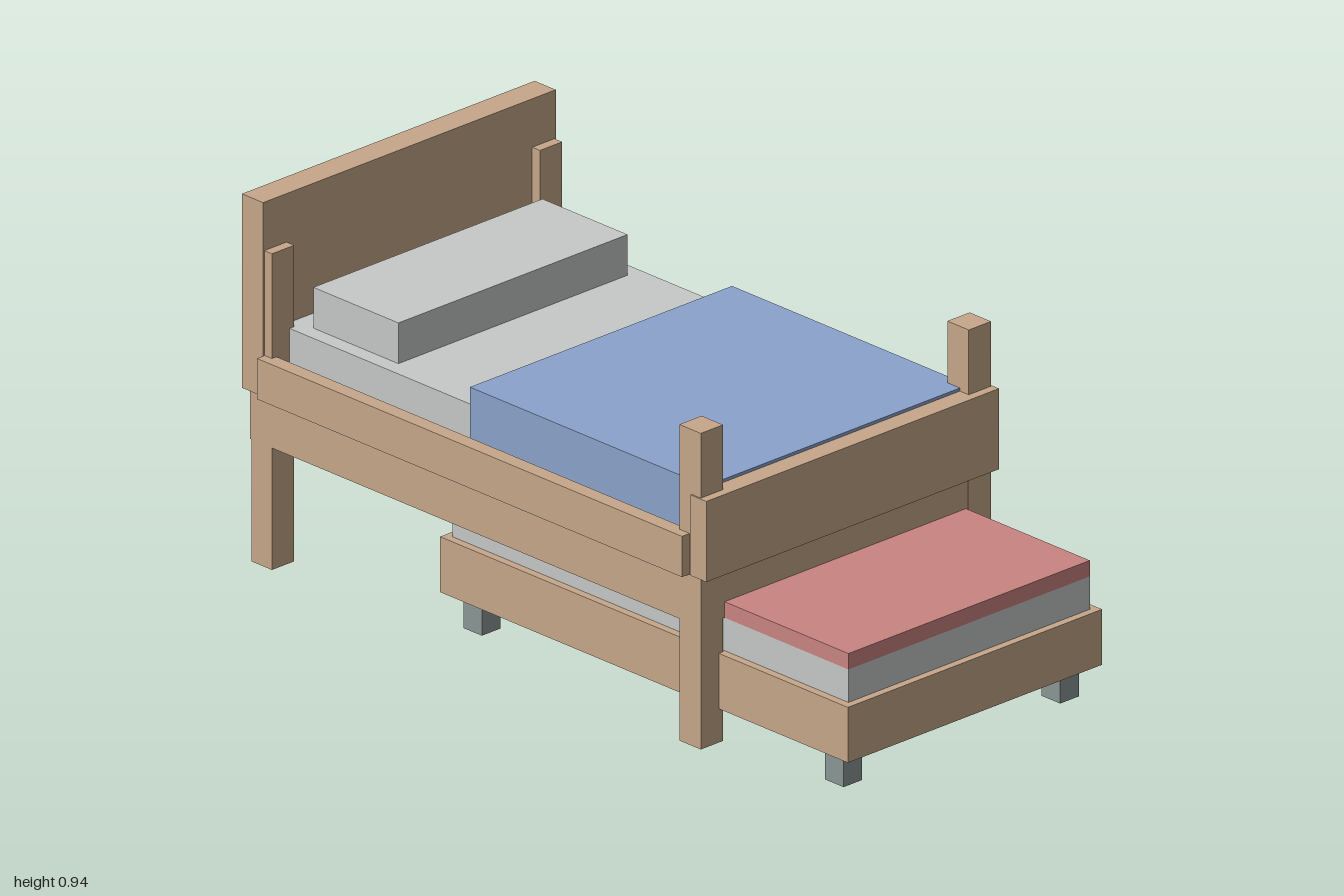
import * as THREE from 'three';

const flat = (name, color) => {
  const m = new THREE.MeshStandardMaterial({ color });
  m.name = name;
  return m;
};

export function createModel() {
  const wood = flat('wood', 0xc6a789);
  const linen = flat('white linen', 0xc6c9c7);
  const blue = flat('blue blanket', 0x8aa2cb);
  const red = flat('red blanket', 0xc98482);
  const grey = flat('grey caster', 0x8a9795);

  const model = new THREE.Group();
  model.name = 'trundleBed';

  // Box given by its extents on each axis
  const box = (parent, name, material, [x0, x1], [y0, y1], [z0, z1]) => {
    const mesh = new THREE.Mesh(new THREE.BoxGeometry(x1 - x0, y1 - y0, z1 - z0), material);
    mesh.position.set((x0 + x1) / 2, (y0 + y1) / 2, (z0 + z1) / 2);
    mesh.name = name;
    parent.add(mesh);
  };
  const wide = (half) => [-half, half];
  const sides = [['left', 1], ['right', -1]];
  const onSide = (s, inner, outer) => (s > 0 ? [inner, outer] : [-outer, -inner]);

  // Main bed
  const bed = new THREE.Group();
  bed.name = 'mainBed';
  model.add(bed);
  box(bed, 'bedBase', wood, wide(0.476), [0.315, 0.44], [-0.975, 0.558]);
  box(bed, 'headboard', wood, wide(0.479), [0.44, 0.94], [-1, -0.928]);
  box(bed, 'footboard', wood, wide(0.479), [0.44, 0.648], [0.53, 0.583]);
  for (const [side, s] of sides) {
    box(bed, side + 'FrontPost', wood, onSide(s, 0.402, 0.475), [0, 0.815], [0.487, 0.56]);
    box(bed, side + 'BackPost', wood, onSide(s, 0.402, 0.475), [0, 0.815], [-0.972, -0.902]);
    box(bed, side + 'Rail', wood, onSide(s, 0.46, 0.5), [0.44, 0.545], [-0.927, 0.522]);
  }

  // Bedding
  box(bed, 'mattress', linen, wide(0.417), [0.44, 0.605], [-0.928, 0.525]);
  box(bed, 'blanket', blue, wide(0.429), [0.455, 0.656], [-0.275, 0.53]);
  box(bed, 'pillow', linen, wide(0.375), [0.605, 0.71], [-0.865, -0.575]);

  // Pull-out trundle
  const trundle = new THREE.Group();
  trundle.name = 'trundle';
  model.add(trundle);
  box(trundle, 'trundleBase', wood, wide(0.416), [0.087, 0.23], [-0.39, 1]);
  box(trundle, 'trundleMattress', linen, wide(0.395), [0.23, 0.315], [-0.37, 0.98]);
  box(trundle, 'trundleBlanket', red, wide(0.395), [0.315, 0.356], [-0.37, 0.98]);
  for (const [side, s] of sides) {
    box(trundle, side + 'FrontCaster', grey, onSide(s, 0.324, 0.385), [0, 0.087], [0.89, 0.953]);
    box(trundle, side + 'BackCaster', grey, onSide(s, 0.324, 0.385), [0, 0.087], [-0.342, -0.28]);
  }
  return model;
}
